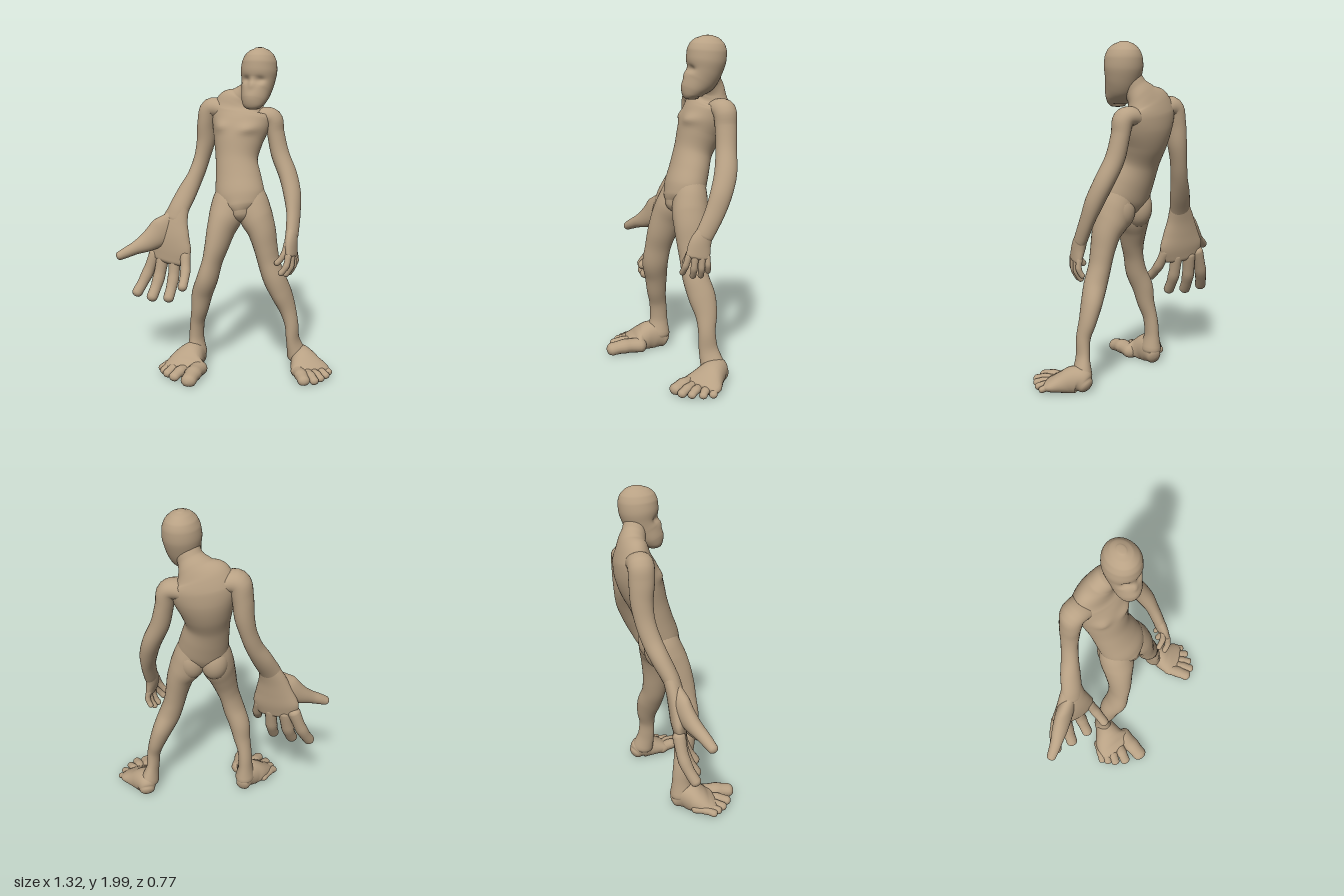
import * as THREE from 'three';

const V = (x, y, z) => new THREE.Vector3(x, y, z);
const skin = new THREE.MeshStandardMaterial({ color: 0xb8a184 });
skin.name = 'skin';

// Smooth closed loft: rows are [x, y, z, halfWidth, halfDepth]; yaw turns the width axis.
function loft(name, rows, { yaw = 0, steps = 5, sides = 28, cap = 0.8, shape } = {}) {
  const path = new THREE.CatmullRomCurve3(rows.map(r => V(r[0], r[1], r[2])));
  const size = new THREE.CatmullRomCurve3(rows.map(r => V(r[3], r[4], 0)));
  const ref = V(Math.cos(yaw), 0, -Math.sin(yaw));
  const rings = [];
  const addRing = (t, push, scale) => {
    const T = path.getTangent(t);
    const S = ref.clone().addScaledVector(T, -ref.dot(T)).normalize();
    const r = size.getPoint(t);
    rings.push({
      c: path.getPoint(t).addScaledVector(T, push * cap * Math.min(r.x, r.y)),
      S, F: T.clone().cross(S), w: r.x * scale, d: r.y * scale
    });
  };
  const capSteps = 5, n = (rows.length - 1) * steps;
  for (let i = 0; i < capSteps; i++) {
    const a = (1 - i / capSteps) * Math.PI / 2;
    addRing(0, -Math.sin(a), Math.cos(a) + 0.001);
  }
  for (let i = 0; i <= n; i++) addRing(i / n, 0, 1);
  for (let i = 1; i <= capSteps; i++) {
    const a = i / capSteps * Math.PI / 2;
    addRing(1, Math.sin(a), Math.cos(a) + 0.001);
  }
  const pos = [], index = [];
  rings.forEach((g, i) => {
    for (let j = 0; j < sides; j++) {
      const a = j / sides * Math.PI * 2;
      const p = g.c.clone().addScaledVector(g.S, g.w * Math.cos(a)).addScaledVector(g.F, g.d * Math.sin(a));
      if (shape) shape(p);
      pos.push(p.x, p.y, p.z);
      if (i === 0) continue;
      const k = (j + 1) % sides, lo = (i - 1) * sides, hi = i * sides;
      index.push(lo + j, lo + k, hi + k, lo + j, hi + k, hi + j);
    }
  });
  const geo = new THREE.BufferGeometry();
  geo.setAttribute('position', new THREE.Float32BufferAttribute(pos, 3));
  geo.setIndex(index);
  geo.computeVertexNormals();
  const mesh = new THREE.Mesh(geo, skin);
  mesh.name = name;
  return mesh;
}

// Finger or toe from base to tip, bowed in the middle and slightly flattened
function digit(name, base, tip, r, bow, flat, yaw, shape) {
  const a = V(...base), t = V(...tip);
  const b = t.clone().addScaledVector(t.clone().sub(a).normalize(), -r * 0.75);
  const at = (k, s, w) => {
    const p = a.clone().lerp(b, k).addScaledVector(V(...bow), s);
    return [p.x, p.y, p.z, r * w, r * w * flat];
  };
  return loft(name, [at(0, 0, 1.1), at(0.35, 0.8, 1), at(0.55, 1, 1.05), at(0.78, 0.7, 0.94), at(1, 0, 0.95)],
    { yaw, steps: 3, sides: 16, cap: 0.9, shape });
}

function buttock(name, p) {
  const m = new THREE.Mesh(new THREE.SphereGeometry(1, 28, 20), skin);
  m.name = name;
  m.position.set(...p);
  m.scale.set(0.085, 0.12, 0.085);
  m.rotation.y = 0.33;
  return m;
}

const floor = p => { p.y = Math.max(p.y, 0.008); };
const bump = (p, x, y, rx, ry) => Math.exp(-(((p.x - x) / rx) ** 2) - ((p.y - y) / ry) ** 2);

// Chest muscles and groin, raised on the front of the trunk only
function trunkRelief(p) {
  const front = THREE.MathUtils.clamp((p.x * 0.32 + (p.z + 0.2) * 0.95) / 0.08, 0, 1);
  const lift = front * (0.02 * (bump(p, -0.08, 1.525, 0.055, 0.032) + bump(p, 0.1, 1.515, 0.05, 0.032))
    + 0.016 * bump(p, 0.085, 1.01, 0.05, 0.06));
  p.x += 0.32 * lift;
  p.z += 0.95 * lift;
}

// Sunken eyes, nose and rounded muzzle on the front of the skull
function faceRelief(p) {
  const front = THREE.MathUtils.clamp((p.z + 0.19) / 0.05, 0, 1);
  p.z += front * (0.012 * bump(p, 0.138, 1.715, 0.06, 0.045) + 0.008 * bump(p, 0.138, 1.775, 0.018, 0.02)
    - 0.022 * (bump(p, 0.095, 1.805, 0.028, 0.022) + bump(p, 0.178, 1.805, 0.028, 0.022)));
}

export function createModel() {
  const model = new THREE.Group();
  model.name = 'figure';
  const group = (name, ...parts) => {
    const g = new THREE.Group();
    g.name = name;
    g.add(...parts);
    model.add(g);
  };

  // Trunk and neck in one piece, leaning back and turned toward its left
  group('body',
    loft('torsoAndNeck', [
      [0.086, 1.015, -0.075, 0.085, 0.085], [0.078, 1.05, -0.082, 0.132, 0.108], [0.06, 1.115, -0.098, 0.15, 0.118],
      [0.037, 1.2, -0.122, 0.142, 0.115], [0.01, 1.31, -0.15, 0.13, 0.113], [0, 1.43, -0.19, 0.152, 0.13],
      [0, 1.53, -0.225, 0.18, 0.128], [0.002, 1.6, -0.243, 0.192, 0.112], [0.012, 1.65, -0.248, 0.168, 0.092],
      [0.038, 1.695, -0.247, 0.106, 0.077], [0.075, 1.745, -0.232, 0.074, 0.071], [0.115, 1.82, -0.215, 0.072, 0.072]
    ], { yaw: 0.33, sides: 48, steps: 7, shape: trunkRelief }),
    buttock('rightButtock', [-0.012, 1.035, -0.1]),
    buttock('leftButtock', [0.118, 1.035, -0.14])
  );

  // Head: high skull, sunken eyes and a heavy muzzle
  group('head',
    loft('head', [
      [0.13, 1.64, -0.125, 0.044, 0.04], [0.13, 1.658, -0.125, 0.062, 0.055], [0.13, 1.69, -0.137, 0.077, 0.068],
      [0.13, 1.745, -0.17, 0.09, 0.098], [0.13, 1.8, -0.195, 0.101, 0.106], [0.13, 1.86, -0.207, 0.109, 0.117],
      [0.131, 1.91, -0.211, 0.104, 0.116], [0.131, 1.95, -0.213, 0.087, 0.102], [0.131, 1.98, -0.214, 0.056, 0.07],
      [0.131, 1.993, -0.214, 0.026, 0.034]
    ], { yaw: 0.12, steps: 7, sides: 56, cap: 0.2, shape: faceRelief })
  );

  // Right arm, with a very large open hand, palm forward
  group('rightArm',
    loft('rightArm', [
      [-0.03, 1.565, -0.235, 0.07, 0.045], [-0.115, 1.618, -0.205, 0.078, 0.06], [-0.186, 1.622, -0.188, 0.076, 0.068],
      [-0.213, 1.54, -0.184, 0.074, 0.06], [-0.226, 1.42, -0.185, 0.066, 0.056], [-0.248, 1.3, -0.165, 0.058, 0.048],
      [-0.272, 1.2, -0.13, 0.057, 0.05], [-0.305, 1.1, -0.08, 0.055, 0.062], [-0.335, 1.0, -0.025, 0.05, 0.067],
      [-0.35, 0.94, 0, 0.045, 0.072]
    ], { yaw: Math.PI / 2 }),
    loft('rightPalm', [
      [-0.33, 1.02, -0.03, 0.062, 0.046], [-0.352, 0.92, -0.002, 0.092, 0.05], [-0.362, 0.83, 0.014, 0.122, 0.053],
      [-0.37, 0.75, 0.022, 0.145, 0.05], [-0.38, 0.68, 0.03, 0.13, 0.04]
    ]),
    loft('rightThumb', [
      [-0.365, 0.95, 0.0, 0.045, 0.035], [-0.42, 0.865, 0.032, 0.088, 0.05], [-0.49, 0.797, 0.088, 0.066, 0.048],
      [-0.56, 0.753, 0.15, 0.04, 0.038], [-0.6, 0.73, 0.182, 0.034, 0.034], [-0.635, 0.71, 0.208, 0.028, 0.029]
    ], { yaw: 0.6 }),
    ...[
      ['indexFinger', [-0.488, 0.7, 0.022], [-0.578, 0.43, 0.125], 0.037],
      ['middleFinger', [-0.43, 0.68, 0.025], [-0.458, 0.415, 0.13], 0.038],
      ['ringFinger', [-0.34, 0.68, 0.025], [-0.335, 0.425, 0.125], 0.036],
      ['littleFinger', [-0.262, 0.715, 0.03], [-0.212, 0.525, 0.155], 0.031]
    ].map(f => digit(...f, [0, 0, -0.02], 0.95, 0))
  );

  // Left arm, hanging with a small curled hand
  group('leftArm',
    loft('leftArm', [
      [0.06, 1.545, -0.27, 0.07, 0.045], [0.122, 1.578, -0.293, 0.076, 0.058], [0.176, 1.565, -0.31, 0.07, 0.06],
      [0.197, 1.48, -0.315, 0.064, 0.052], [0.23, 1.35, -0.313, 0.062, 0.055], [0.292, 1.22, -0.3, 0.066, 0.055],
      [0.335, 1.11, -0.268, 0.064, 0.052], [0.363, 1.0, -0.225, 0.058, 0.04], [0.381, 0.88, -0.165, 0.053, 0.036]
    ], { yaw: Math.PI / 2 }),
    loft('leftPalm', [
      [0.378, 0.9, -0.172, 0.034, 0.05], [0.386, 0.83, -0.14, 0.034, 0.065], [0.397, 0.765, -0.128, 0.027, 0.07]
    ]),
    ...[
      ['thumb', [0.375, 0.83, -0.1], [0.322, 0.705, -0.06], 0.019],
      ['indexFinger', [0.395, 0.765, -0.075], [0.358, 0.65, -0.04], 0.019],
      ['middleFinger', [0.402, 0.755, -0.11], [0.368, 0.63, -0.102], 0.02],
      ['ringFinger', [0.402, 0.755, -0.15], [0.372, 0.632, -0.148], 0.019],
      ['littleFinger', [0.395, 0.765, -0.18], [0.38, 0.66, -0.19], 0.017]
    ].map(f => digit(...f, [0.014, 0, 0], 1, 0))
  );

  // Legs, feet and toes
  group('rightLeg',
    loft('rightLeg', [
      [0.015, 1.16, -0.1, 0.09, 0.085], [0.0, 1.06, -0.065, 0.104, 0.102], [-0.008, 0.98, -0.035, 0.102, 0.108],
      [-0.022, 0.9, 0, 0.084, 0.102], [-0.035, 0.8, 0.035, 0.069, 0.089], [-0.055, 0.7, 0.057, 0.058, 0.08],
      [-0.08, 0.6, 0.07, 0.063, 0.08], [-0.12, 0.5, 0.062, 0.064, 0.07], [-0.14, 0.4, 0.057, 0.053, 0.061],
      [-0.166, 0.3, 0.045, 0.043, 0.054], [-0.175, 0.2, 0.04, 0.043, 0.056], [-0.172, 0.1, 0.045, 0.062, 0.076]
    ], { shape: floor }),
    loft('rightFoot', [
      [-0.172, 0.055, 0.005, 0.045, 0.055], [-0.172, 0.075, 0.05, 0.064, 0.092], [-0.178, 0.08, 0.1, 0.086, 0.093],
      [-0.182, 0.068, 0.145, 0.112, 0.078], [-0.175, 0.052, 0.19, 0.134, 0.058], [-0.165, 0.044, 0.225, 0.13, 0.044]
    ], { shape: floor, cap: 0.6 }),
    ...[
      ['bigToe', [-0.09, 0.048, 0.17], [-0.053, 0.038, 0.385], 0.051],
      ['secondToe', [-0.155, 0.05, 0.2], [-0.172, 0.034, 0.36], 0.035],
      ['thirdToe', [-0.21, 0.048, 0.19], [-0.238, 0.033, 0.33], 0.031],
      ['fourthToe', [-0.25, 0.046, 0.17], [-0.28, 0.032, 0.298], 0.029],
      ['littleToe', [-0.27, 0.044, 0.13], [-0.312, 0.032, 0.268], 0.028]
    ].map(f => digit(...f, [0, 0.008, 0], 0.85, 0, floor))
  );
  group('leftLeg',
    loft('leftLeg', [
      [0.095, 1.16, -0.125, 0.088, 0.085], [0.13, 1.06, -0.12, 0.104, 0.102], [0.162, 0.98, -0.115, 0.102, 0.108],
      [0.2, 0.9, -0.115, 0.084, 0.102], [0.226, 0.8, -0.118, 0.07, 0.09], [0.248, 0.7, -0.124, 0.065, 0.08],
      [0.28, 0.6, -0.135, 0.068, 0.078], [0.316, 0.5, -0.165, 0.061, 0.08], [0.35, 0.4, -0.186, 0.05, 0.065],
      [0.379, 0.3, -0.187, 0.041, 0.051], [0.386, 0.2, -0.195, 0.038, 0.056], [0.402, 0.1, -0.22, 0.058, 0.072]
    ], { shape: floor }),
    loft('leftFoot', [
      [0.4, 0.05, -0.27, 0.05, 0.05], [0.415, 0.068, -0.248, 0.064, 0.08], [0.45, 0.07, -0.212, 0.08, 0.08],
      [0.49, 0.055, -0.172, 0.106, 0.064], [0.525, 0.044, -0.14, 0.124, 0.048], [0.548, 0.038, -0.118, 0.12, 0.037]
    ], { yaw: 0.8, shape: floor, cap: 0.6 }),
    ...[
      ['bigToe', [0.465, 0.04, -0.09], [0.568, 0.032, 0.042], 0.04],
      ['secondToe', [0.52, 0.042, -0.095], [0.622, 0.03, 0.005], 0.029],
      ['thirdToe', [0.545, 0.04, -0.125], [0.642, 0.028, -0.052], 0.026],
      ['fourthToe', [0.56, 0.038, -0.165], [0.655, 0.027, -0.118], 0.025],
      ['littleToe', [0.56, 0.037, -0.21], [0.652, 0.026, -0.178], 0.024]
    ].map(f => digit(...f, [0, 0.007, 0], 0.85, 0.8, floor))
  );
  return model;
}
